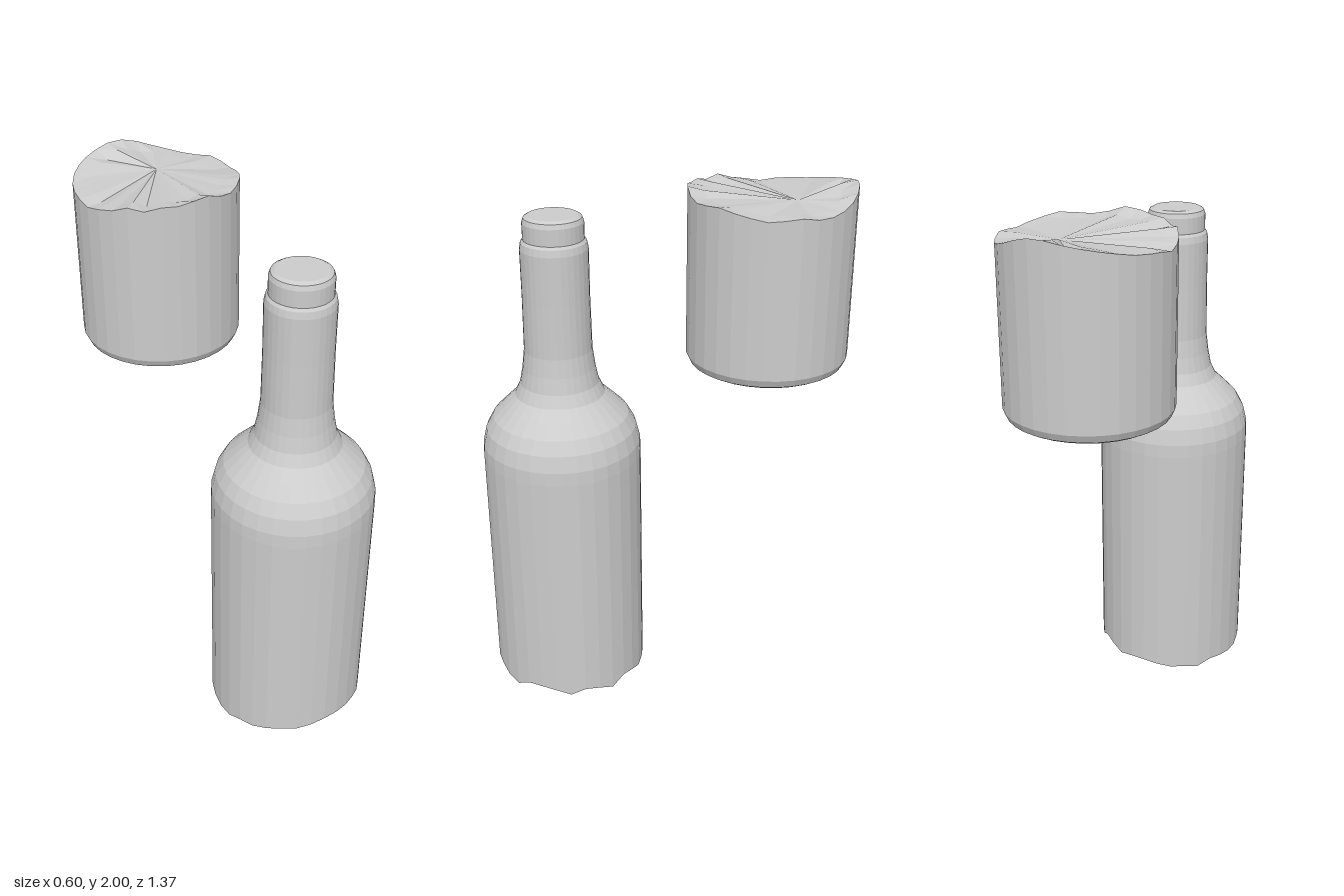
import * as THREE from 'three';

const SEGS = 32;
const R = 0.3;
const material = new THREE.MeshStandardMaterial({ color: 0xcccccc, flatShading: true, side: THREE.DoubleSide });

// Break heights around the rim, starting at the front and turning towards +x
const bottleBreak = [
  0.07, 0.065, 0.06, 0.04, 0.03, 0.06, 0.06, 0.05, 0.03, 0.05, 0.04, 0.02, 0.05, 0.04, 0.02, 0.03,
  0.03, 0.02, 0.01, 0.01, 0, 0.02, 0.015, 0.01, 0.01, 0.03, 0.03, 0.04, 0.05, 0.05, 0.06, 0.07];
const baseBreak = [
  1.99, 1.97, 1.96, 1.965, 1.97, 1.96, 1.95, 1.94, 1.945, 1.95, 1.94, 1.94, 1.95, 1.965, 1.985, 2,
  2, 1.99, 1.98, 1.97, 1.96, 1.95, 1.945, 1.94, 1.93, 1.94, 1.95, 1.97, 1.96, 1.975, 1.975, 1.985];

// Turned surface whose vertices are then moved by edit(position, segment, row)
function turned(name, profile, edit) {
  const geo = new THREE.LatheGeometry(profile.map(([r, y]) => new THREE.Vector2(r, y)), SEGS);
  const pos = geo.attributes.position;
  const p = new THREE.Vector3();
  for (let i = 0; i < pos.count; i++) {
    p.fromBufferAttribute(pos, i);
    edit(p, Math.floor(i / profile.length) % SEGS, i % profile.length);
    pos.setXYZ(i, p.x, p.y, p.z);
  }
  geo.computeVertexNormals();
  const mesh = new THREE.Mesh(geo, material);
  mesh.name = name;
  return mesh;
}

// Wall whose one row follows the break
const wall = (name, profile, heights, jagRow) =>
  turned(name, profile, (p, seg, row) => { if (row === jagRow) p.y = heights[seg]; });

// Uneven glass face closing the break, with an off-centre hub
function brokenFace(name, heights, hub, upward) {
  const radii = [R, R * 0.8, 0];
  if (!upward) radii.reverse();
  return turned(name, radii.map(r => [r, 0]), (p, seg, row) => {
    const ring = upward ? row : 2 - row;
    if (ring === 2) { p.copy(hub); return; }
    const blend = ring === 0 ? 0 : 0.4 + 0.25 * Math.sin(seg * 2.3);
    p.y = THREE.MathUtils.lerp(heights[seg], hub.y, blend);
  });
}

export function createModel() {
  const model = new THREE.Group();

  // Upper bottle: body, shoulder, neck and lip
  const bottle = new THREE.Group();
  bottle.name = 'bottle';
  bottle.position.z = 0.385;
  bottle.add(wall('bottleBody', [
    [R, 0], [R, 0.98], [0.298, 1.03], [0.283, 1.09], [0.255, 1.14], [0.21, 1.185], [0.168, 1.225],
    [0.147, 1.27], [0.135, 1.33], [0.126, 1.4], [0.123, 1.6], [0.123, 1.78], [0.118, 1.805],
    [0.11, 1.815], [0.11, 1.875], [0.104, 1.892], [0.09, 1.9], [0, 1.9],
  ], bottleBreak, 0));
  bottle.add(brokenFace('bottleBreak', bottleBreak, new THREE.Vector3(-0.03, 0.045, 0.04), false));

  // Broken-off base, lifted behind the bottle
  const base = new THREE.Group();
  base.name = 'base';
  base.position.z = -0.387;
  base.add(wall('baseBody', [
    [0, 1.33], [0.265, 1.33], [0.287, 1.342], [R, 1.37], [R, 1.95],
  ], baseBreak, 4));
  base.add(brokenFace('baseBreak', baseBreak, new THREE.Vector3(0.06, 1.95, -0.08), true));

  model.add(bottle, base);
  return model;
}
